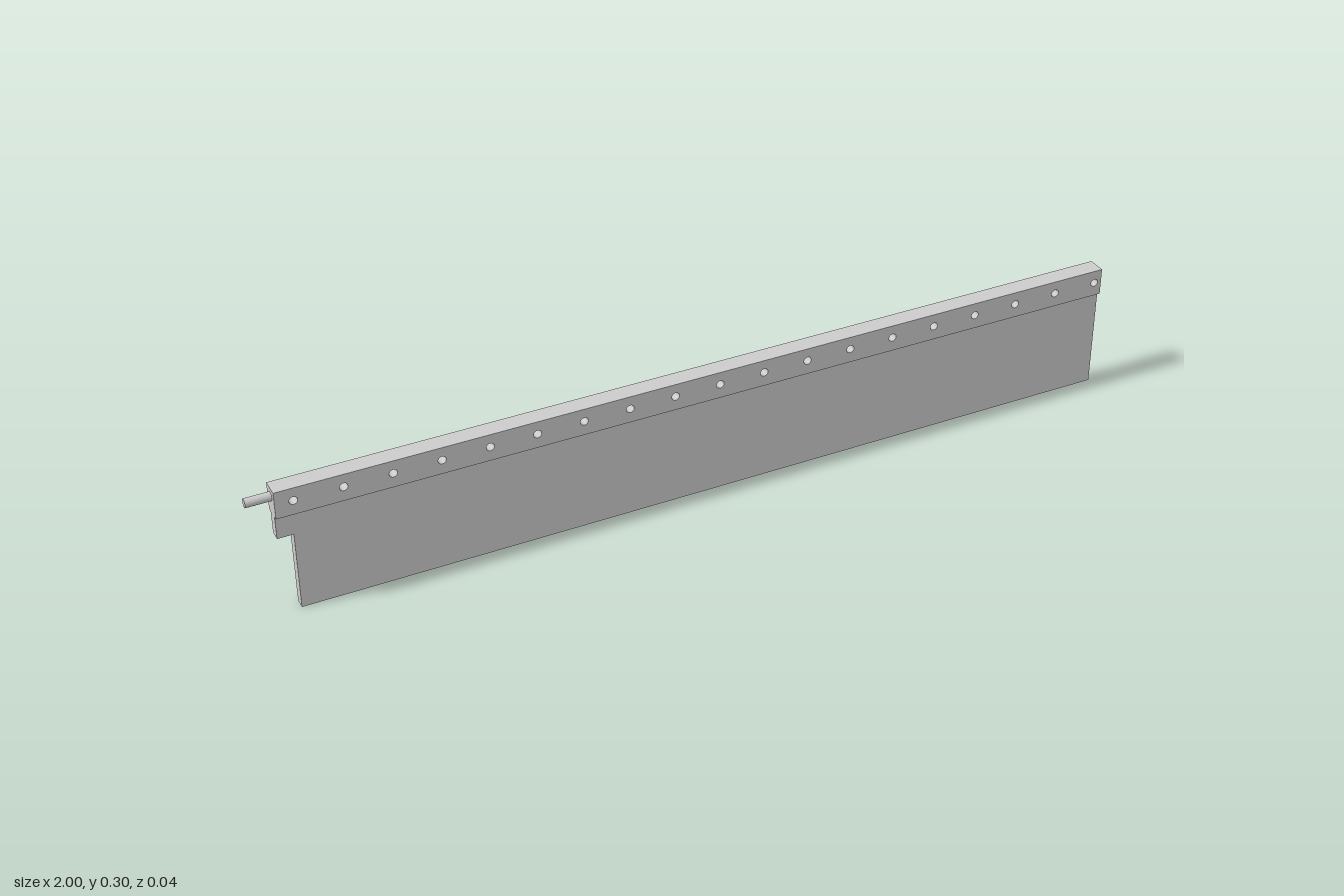
import * as THREE from 'three';

const TOP = 0.3, RAIL_BOTTOM = 0.237, LEFT = -0.945, BLADE_LEFT = -0.91, RIGHT = 1;

export function createModel() {
  const group = new THREE.Group();
  const material = new THREE.MeshStandardMaterial({ color: 0xcccccc });

  const add = (name, geometry) => {
    const mesh = new THREE.Mesh(geometry, material);
    mesh.name = name;
    group.add(mesh);
    return mesh;
  };
  // Plate cut from an outline, centred on z = 0
  const plate = (shape, depth) =>
    new THREE.ExtrudeGeometry(shape, { depth, bevelEnabled: false, curveSegments: 12 })
      .translate(0, 0, -depth / 2);
  const outline = (points) => new THREE.Shape(points.map(([x, y]) => new THREE.Vector2(x, y)));

  // Thick top rail with a row of through holes
  const rail = outline([[LEFT, RAIL_BOTTOM], [RIGHT, RAIL_BOTTOM], [RIGHT, TOP], [LEFT, TOP]]);
  for (let i = 0; i < 19; i++) {
    const hole = new THREE.Path();
    hole.absarc(-0.906 + i * 0.1049, 0.27, 0.009, 0, Math.PI * 2, true);
    rail.holes.push(hole);
  }
  add('topRail', plate(rail, 0.042));

  // Thin hanging blade with a short tab under the rail's end
  const edge = 0.004;
  add('blade', plate(outline([
    [BLADE_LEFT + edge, edge], [RIGHT, edge], [RIGHT, RAIL_BOTTOM], [LEFT, RAIL_BOTTOM],
    [LEFT, 0.183], [BLADE_LEFT + edge, 0.183],
  ]), 0.024));

  // Narrow edging along the blade's bottom and free end
  add('bladeEdging', plate(outline([
    [BLADE_LEFT, 0], [RIGHT, 0], [RIGHT, edge], [BLADE_LEFT + edge, edge],
    [BLADE_LEFT + edge, 0.183], [BLADE_LEFT, 0.183],
  ]), 0.024));

  // Round pivot pin at the rail's end
  const pin = add('pivotPin', new THREE.CylinderGeometry(0.01, 0.01, 0.055, 24));
  pin.rotation.z = Math.PI / 2;
  pin.position.set(-0.9725, 0.28, 0);

  return group;
}
